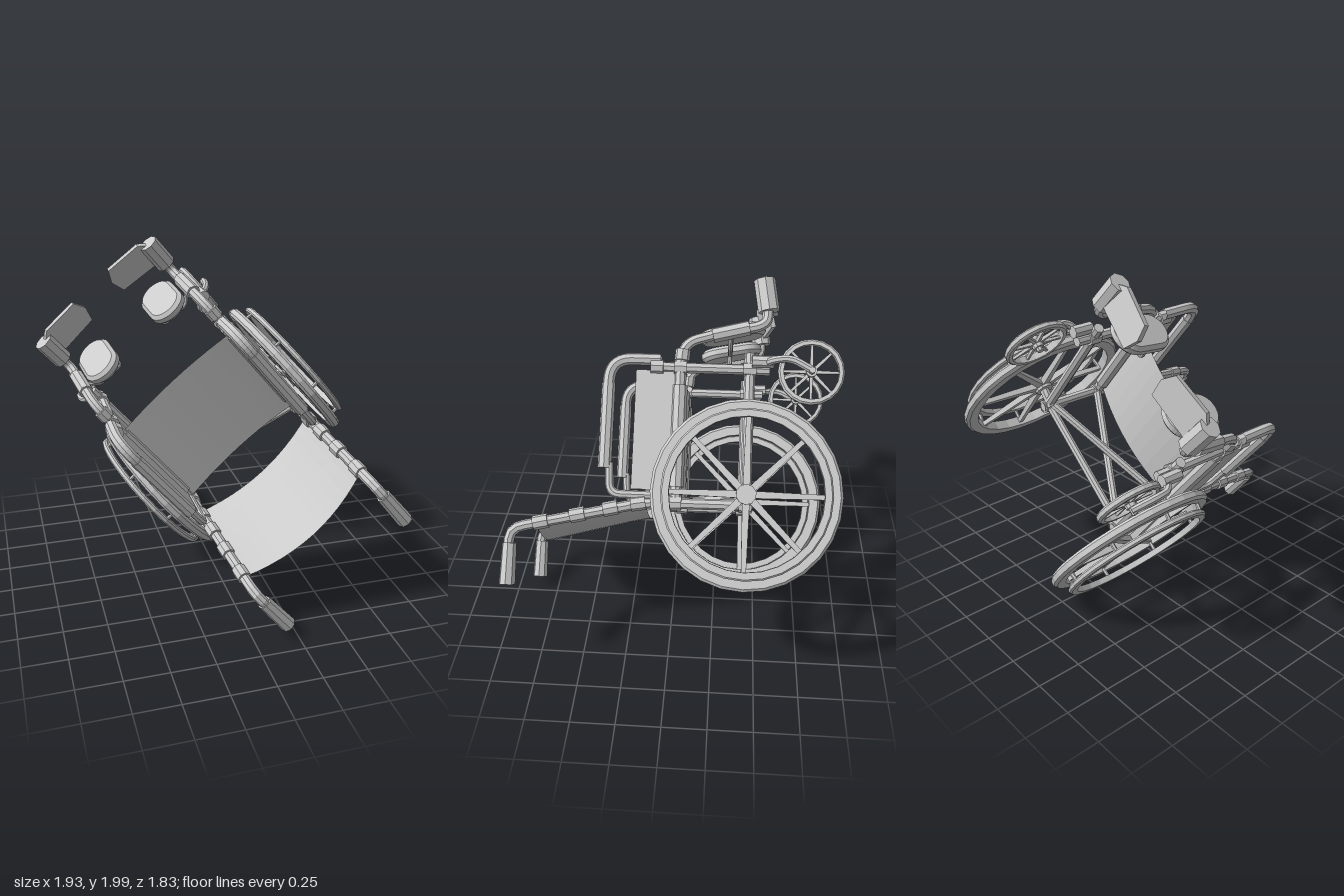
import * as THREE from 'three';

const material = new THREE.MeshStandardMaterial({ color: 0xcccccc, flatShading: true });
const thin = new THREE.MeshStandardMaterial({ color: 0xcccccc, flatShading: true, side: THREE.DoubleSide });
const V = (x, y, z) => new THREE.Vector3(x, y, z);

function add(parent, name, geometry, mat = material) {
  const mesh = new THREE.Mesh(geometry, mat);
  mesh.name = name;
  parent.add(mesh);
  return mesh;
}

// straight closed bar between two points
function bar(parent, name, a, b, r, r2 = r, sides = 8) {
  const d = b.clone().sub(a);
  const m = add(parent, name, new THREE.CylinderGeometry(r2, r, d.length(), sides));
  m.position.copy(a).addScaledVector(d, 0.5);
  m.quaternion.setFromUnitVectors(V(0, 1, 0), d.normalize());
  return m;
}

// bent tube with rounded corners
function tube(parent, name, pts, r, bend = 0.08) {
  const path = new THREE.CurvePath();
  let from = pts[0];
  for (let i = 1; i < pts.length - 1; i++) {
    const p = pts[i];
    const toward = (q) => p.clone().lerp(q, Math.min(0.45, bend / p.distanceTo(q)));
    const a = toward(pts[i - 1]), b = toward(pts[i + 1]);
    path.add(new THREE.LineCurve3(from, a));
    path.add(new THREE.QuadraticBezierCurve3(a, p, b));
    from = b;
  }
  path.add(new THREE.LineCurve3(from, pts[pts.length - 1]));
  return add(parent, name, new THREE.TubeGeometry(path, 36, r, 8), thin);
}

// ring about the x axis with chamfered outer edge
function ring(parent, name, inner, outer, width, sides) {
  const h = width / 2, c = width * 0.25;
  const profile = [[inner, -h], [outer - c, -h], [outer, -h + c], [outer, h - c],
    [outer - c, h], [inner, h], [inner, -h]].map(([x, y]) => new THREE.Vector2(x, y));
  return add(parent, name, new THREE.LatheGeometry(profile, sides).rotateZ(-Math.PI / 2));
}

// eight tapered spokes and a hub, about the x axis
function spokes(parent, radius, width, hub, depth) {
  bar(parent, 'hub', V(-depth, 0, 0), V(depth, 0, 0), hub, hub, 10);
  for (let i = 0; i < 8; i++) {
    const geo = new THREE.CylinderGeometry(width * 0.5, width * 0.8, radius, 4, 1).rotateY(Math.PI / 4);
    geo.translate(0, radius / 2, 0);
    add(parent, 'spoke', geo).rotation.x = i * Math.PI / 4;
  }
}

// cloth: (s, t) in 0..1 mapped to a point
function cloth(parent, name, nu, nv, map) {
  const geo = new THREE.PlaneGeometry(1, 1, nu, nv), p = geo.attributes.position;
  for (let i = 0; i < p.count; i++) p.setXYZ(i, ...map(p.getX(i) + 0.5, p.getY(i) + 0.5));
  geo.computeVertexNormals();
  return add(parent, name, geo, thin);
}

const X = 0.43; // half width of the frame
const backZ = (y) => -0.41 + Math.max(0, y - 0.15) * 0.235;

function buildSide(chair, s) {
  const side = new THREE.Group();
  side.name = s > 0 ? 'sideFrameA' : 'sideFrameB';
  chair.add(side);
  const P = (x, y, z) => V(s * x, y, z);
  const Q = (y, z) => P(X, y, z);

  // rear post with push handle
  tube(side, 'backPost', [Q(-0.45, -0.415), Q(0.13, -0.41), Q(0.87, backZ(0.87)), Q(0.87, -0.1)], 0.03);
  bar(side, 'handGrip', Q(0.865, -0.16), Q(0.865, 0.065), 0.04, 0.045);
  for (const y of [0.17, 0.32, 0.5, 0.7])
    bar(side, 'postCollar', Q(y - 0.04, backZ(y - 0.04)), Q(y + 0.04, backZ(y + 0.04)), 0.04);

  // seat rail, lower rail and front post
  bar(side, 'seatRail', Q(-0.03, -0.4), Q(-0.03, -1.2), 0.033);
  bar(side, 'seatClamp', Q(-0.03, -0.5), Q(-0.03, -1.06), 0.042);
  bar(side, 'lowerRail', Q(-0.41, -0.4), Q(-0.41, -1.25), 0.03);
  bar(side, 'frontPost', Q(0.13, -1.16), Q(-0.52, -1.16), 0.03);
  for (const [y, z] of [[-0.03, -1.16], [-0.41, -1.16], [-0.03, -0.415], [-0.41, -0.415], [0.1, -1.16]])
    bar(side, 'joint', Q(y - 0.035, z), Q(y + 0.035, z), 0.042);

  // armrest and skirt panel
  tube(side, 'armrestTube', [Q(0.0, -0.45), Q(0.33, -0.45), Q(0.34, -0.62)], 0.024, 0.06);
  tube(side, 'armrestFront', [Q(0.08, -1.2), Q(0.365, -1.2), Q(0.365, -0.62)], 0.034, 0.13);
  bar(side, 'armrestPad', Q(0.365, -0.59), Q(0.365, -1.06), 0.038);
  add(side, 'skirtPanel', new THREE.BoxGeometry(0.02, 0.25, 0.66)).position.copy(Q(0.09, -0.81));

  // leg hanger
  tube(side, 'legHanger', [Q(-0.03, -1.12), Q(-0.04, -1.3), Q(-0.3, -1.375), Q(-0.5, -1.41), Q(-0.5, -1.52)], 0.03, 0.09);
  bar(side, 'hangerSleeve', Q(-0.2, -1.345), Q(-0.4, -1.395), 0.042);
  bar(side, 'hangerCollar', Q(-0.035, -1.2), Q(-0.04, -1.26), 0.042);

  // calf pad on a bent bracket
  tube(side, 'calfBracket', [P(X, -0.3, -1.37), P(0.35, -0.3, -1.29), P(0.18, -0.3, -1.29), P(0.18, -0.3, -1.38)], 0.014, 0.02);
  const oval = new THREE.Shape();
  oval.absarc(0, 0.075, 0.095, 0, Math.PI);
  oval.absarc(0, -0.075, 0.095, Math.PI, Math.PI * 2);
  const pad = add(side, 'calfPad', new THREE.ExtrudeGeometry(oval, {
    depth: 0.03, bevelThickness: 0.02, bevelSize: 0.02, bevelSegments: 1, curveSegments: 8 }).translate(0, 0, -0.015));
  pad.position.copy(P(0.26, -0.31, -1.395));
  pad.rotation.x = 0.2;

  // footplate and its hinge
  bar(side, 'footplateHinge', Q(-0.505, -1.49), Q(-0.475, -1.67), 0.06);
  const outline = [[0, 0.075], [-0.3, 0.075], [-0.325, -0.02], [-0.29, -0.1], [-0.06, -0.11], [0, -0.06]];
  const plate = add(side, 'footplate', new THREE.ExtrudeGeometry(
    new THREE.Shape(outline.map(([x, z]) => new THREE.Vector2(s * x, z))),
    { depth: 0.03, bevelEnabled: false }).rotateX(Math.PI / 2));
  plate.position.copy(Q(-0.485, -1.595));
  plate.rotation.set(0.3, 0, s * 0.15);

  // main wheel with hand rim
  const wheel = new THREE.Group();
  wheel.name = 'mainWheel';
  wheel.position.copy(P(0.546, -0.41, -0.469));
  side.add(wheel);
  ring(wheel, 'tyre', 0.44, 0.51, 0.06, 28);
  spokes(wheel, 0.45, 0.036, 0.055, 0.035);
  ring(wheel, 'handRim', 0.405, 0.45, 0.036, 28).position.x = s * 0.085;
  for (let i = 0; i < 8; i++) {
    const a = i * Math.PI / 4, y = 0.43 * Math.cos(a), z = 0.43 * Math.sin(a);
    bar(wheel, 'rimPeg', V(0, y * 1.03, z * 1.03), V(s * 0.085, y, z), 0.012, 0.012, 6);
  }
  bar(side, 'axleStub', P(0.4, -0.41, -0.45), P(0.55, -0.41, -0.469), 0.03);

  // caster wheel and fork
  const caster = new THREE.Group();
  caster.name = 'caster';
  caster.position.copy(P(0.49, -0.74, -1.146));
  side.add(caster);
  ring(caster, 'casterTyre', 0.15, 0.18, 0.04, 20);
  spokes(caster, 0.155, 0.018, 0.03, 0.03);
  bar(side, 'casterStem', P(0.47, -0.42, -1.2), P(0.47, -0.54, -1.2), 0.035);
  tube(side, 'casterFork', [P(0.45, -0.5, -1.19), P(0.53, -0.53, -1.2), P(0.54, -0.63, -1.21), P(0.535, -0.75, -1.146)], 0.022, 0.05);
  bar(side, 'casterAxle', P(0.44, -0.74, -1.146), P(0.56, -0.74, -1.146), 0.018);
}

export function createModel() {
  const model = new THREE.Group();
  model.name = 'wheelchair';
  const chair = new THREE.Group();
  chair.name = 'chair';
  model.add(chair);

  for (const s of [1, -1]) buildSide(chair, s);

  // axle and folding cross brace
  bar(chair, 'axleBar', V(-X, -0.41, -0.43), V(X, -0.41, -0.43), 0.025);
  for (const s of [1, -1])
    bar(chair, 'crossBrace', V(s * X, -0.41, -0.44 - s * 0.015), V(-s * X, -0.04, -0.44 - s * 0.015), 0.025);

  // sagging seat and backrest
  const sag = (s) => 1 - (2 * s - 1) ** 2;
  cloth(chair, 'seat', 10, 5, (s, t) => [(s * 2 - 1) * X, -0.01 - 0.06 * sag(s), -0.45 - 0.63 * t]);
  cloth(chair, 'backrest', 12, 5, (s, t) => {
    const y = 0.13 + 0.6 * t;
    return [(s * 2 - 1) * X, y, backZ(y) + (0.08 + 0.02 * t) * sag(s)];
  });

  // the chair lies tipped back and turned on the ground
  const c = 0.764, k = 0.645;
  chair.quaternion.setFromRotationMatrix(new THREE.Matrix4().makeBasis(V(c, k, 0), V(0, 0, 1), V(k, -c, 0)));
  chair.position.set(0.634 * c, 0.634 * k, 0);
  return model;
}
